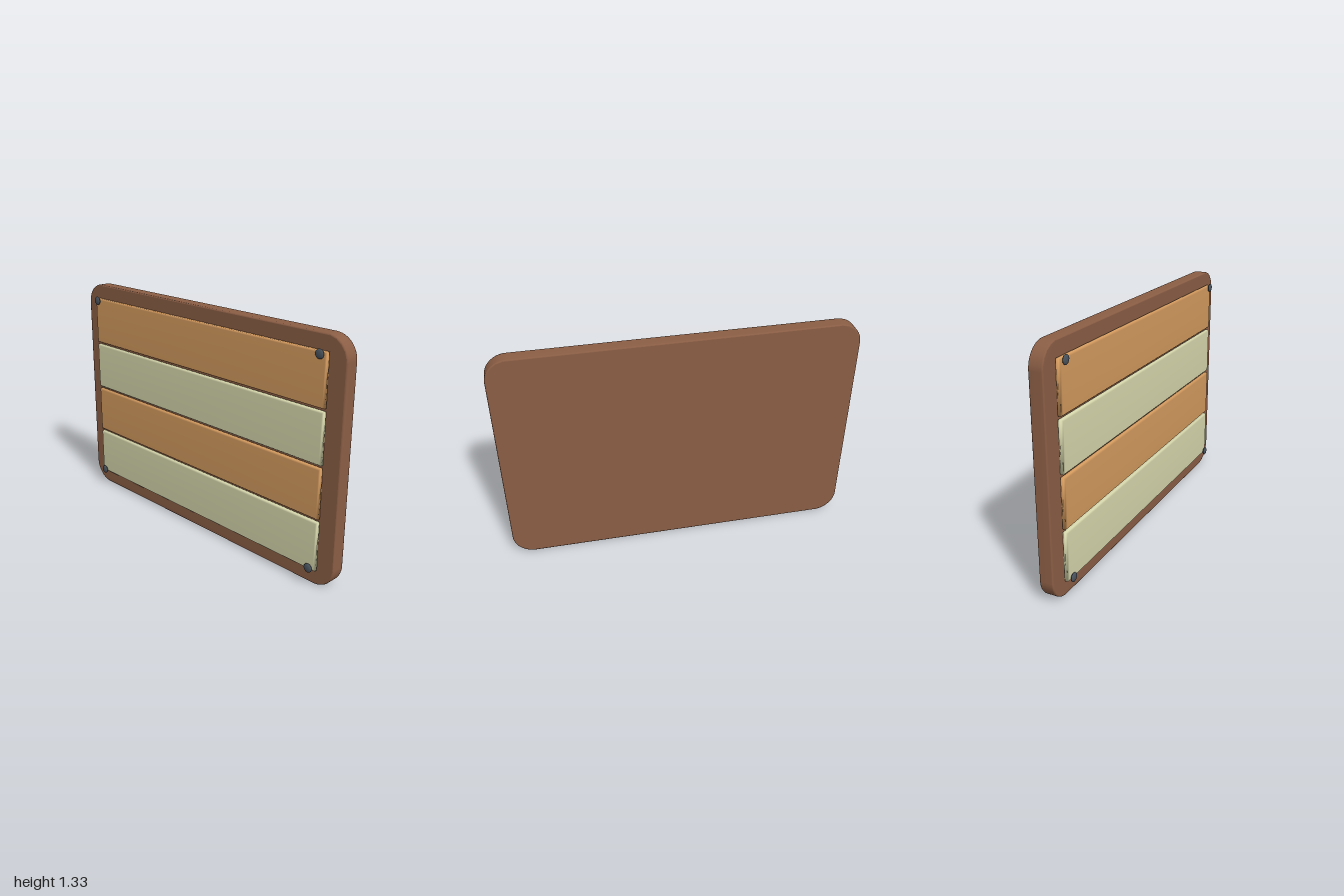
import * as THREE from 'three';
import { mergeVertices } from 'three/addons/utils/BufferGeometryUtils.js';

const mat = (name, color) => {
  const m = new THREE.MeshStandardMaterial({ color });
  m.name = name;
  return m;
};

// Upright slab with rounded corners and small softened edges, from z0 to z1
function slab(w, h, z0, z1, radius, bevel, bevelSegments) {
  const x = w / 2 - bevel, y = h / 2 - bevel, r = radius - bevel;
  const s = new THREE.Shape();
  if (r > 0) {
    s.absarc(x - r, y - r, r, 0, Math.PI / 2);
    s.absarc(-x + r, y - r, r, Math.PI / 2, Math.PI);
    s.absarc(-x + r, -y + r, r, Math.PI, Math.PI * 1.5);
    s.absarc(x - r, -y + r, r, Math.PI * 1.5, Math.PI * 2);
  } else {
    s.moveTo(x, y).lineTo(-x, y).lineTo(-x, -y).lineTo(x, -y);
  }
  s.closePath();
  let g = new THREE.ExtrudeGeometry(s, {
    depth: z1 - z0 - 2 * bevel, bevelEnabled: true, bevelSize: bevel,
    bevelThickness: bevel, bevelSegments, curveSegments: 10,
  });
  g.translate(0, 0, z0 + bevel);
  // Blend the normals across the soft edges
  g.deleteAttribute('normal');
  g.deleteAttribute('uv');
  g = mergeVertices(g, 1e-5);
  g.computeVertexNormals();
  return g;
}

export function createModel() {
  const group = new THREE.Group();
  const brown = mat('brown wood', 0x8b5e45);
  const orange = mat('orange wood', 0xd39a5e);
  const cream = mat('pale green wood', 0xd6d6ac);
  const steel = mat('dark steel', 0x4a545e);

  const add = (name, geometry, material, x, y, z) => {
    const mesh = new THREE.Mesh(geometry, material);
    mesh.name = name;
    mesh.position.set(x, y, z);
    group.add(mesh);
  };

  // Backing board
  add('backBoard', slab(2, 1.33, -0.062, 0.015, 0.125, 0.007, 2), brown, 0, 0.665, 0);

  // Four horizontal planks in alternating colours
  const plank = slab(1.8, 0.278, 0.013, 0.044, 0, 0.008, 1);
  for (let i = 0; i < 4; i++) {
    add('plank' + (i + 1), plank, i % 2 ? orange : cream, 0, 0.228 + i * 0.2935, 0);
  }

  // Rounded pin heads at the corners
  const pin = new THREE.SphereGeometry(0.026, 12, 8);
  pin.rotateX(Math.PI / 2);
  pin.scale(1, 1, 0.36);
  for (const x of [-0.867, 0.867]) {
    for (const y of [0.103, 1.237]) add('pin', pin, steel, x, y, 0.0535);
  }
  return group;
}
